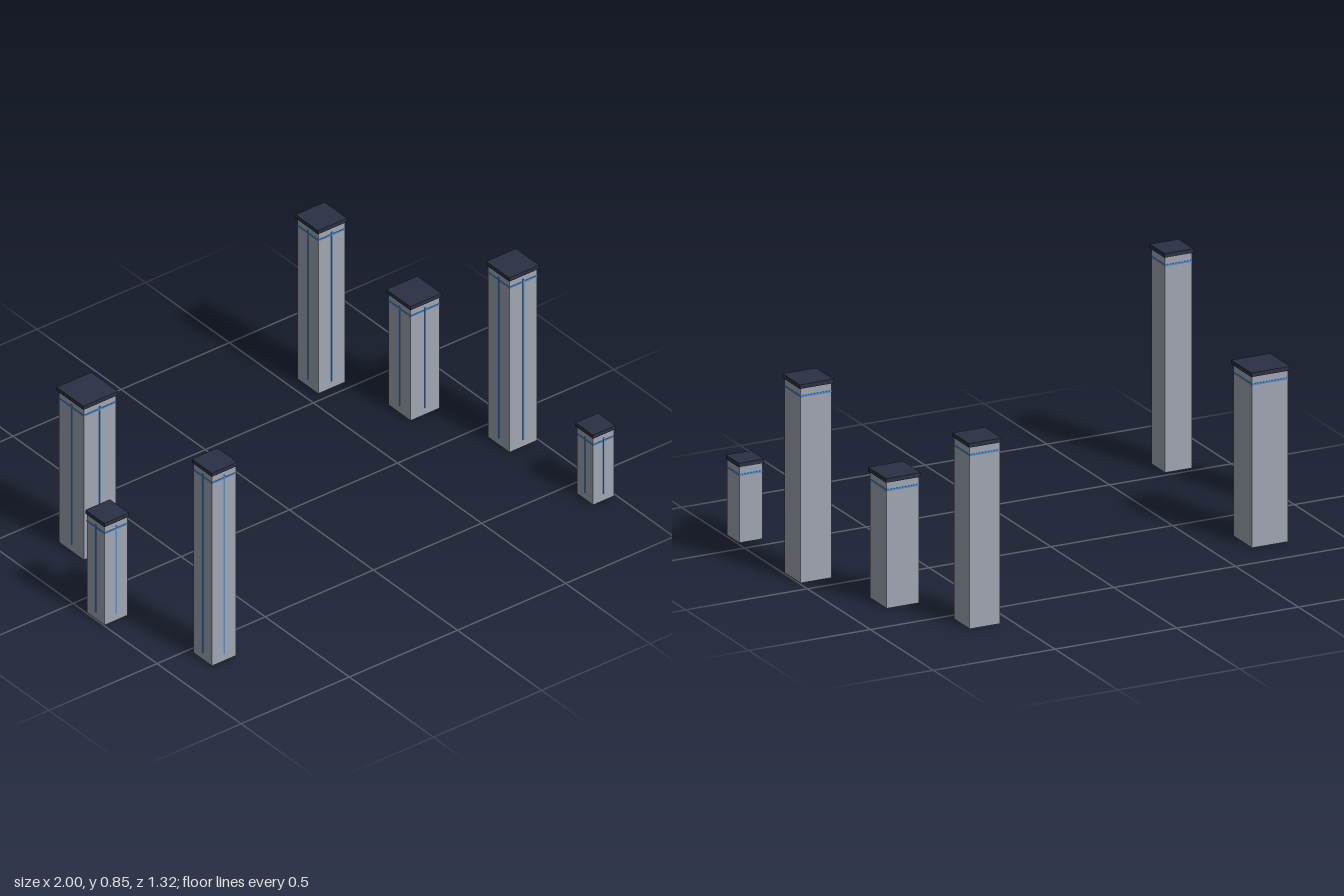
import * as THREE from 'three';

// x, z, body width, total height of each tower
const TOWERS = [
  [-0.944, 0.131, 0.105, 0.45],
  [-0.796, 0.580, 0.110, 0.85],
  [-0.720, -0.275, 0.148, 0.68],
  [0.613, -0.599, 0.124, 0.72],
  [0.775, -0.257, 0.133, 0.505],
  [0.930, 0.131, 0.128, 0.77],
  [0.943, 0.607, 0.096, 0.31],
];
const CAP_HEIGHT = 0.016;

export function createModel() {
  const wall = new THREE.MeshStandardMaterial({ color: 0xa0a6b2 });
  const dark = new THREE.MeshStandardMaterial({ color: 0x2a3144 });
  const blue = new THREE.MeshStandardMaterial({ color: 0x4a90d9 });

  // Box with its lower face at height y
  function box(parent, name, material, [w, h, d], [x, y, z]) {
    const mesh = new THREE.Mesh(new THREE.BoxGeometry(w, h, d), material);
    mesh.name = name;
    mesh.position.set(x, y + h / 2, z);
    parent.add(mesh);
  }

  const model = new THREE.Group();
  model.name = 'towerCluster';

  TOWERS.forEach(([x, z, w, top], i) => {
    const tower = new THREE.Group();
    tower.name = `tower${i + 1}`;
    tower.position.set(x, 0, z);

    // Square shaft under a slightly wider roof slab
    box(tower, 'shaft', wall, [w, top - CAP_HEIGHT, w], [0, 0, 0]);
    box(tower, 'roofSlab', dark, [w * 1.08, CAP_HEIGHT, w * 1.08], [0, top - CAP_HEIGHT, 0]);

    // Light band around the shaft below the roof
    box(tower, 'lightBand', blue, [w + 0.003, 0.007, w + 0.003], [0, top - 0.051, 0]);

    // Vertical light strips on the front and the -x side
    const stripHeight = top - 0.065;
    box(tower, 'frontStrip', blue, [0.006, stripHeight, 0.005], [0, 0.03, w / 2]);
    box(tower, 'sideStrip', blue, [0.005, stripHeight, 0.006], [-w / 2, 0.03, 0]);

    model.add(tower);
  });

  return model;
}
